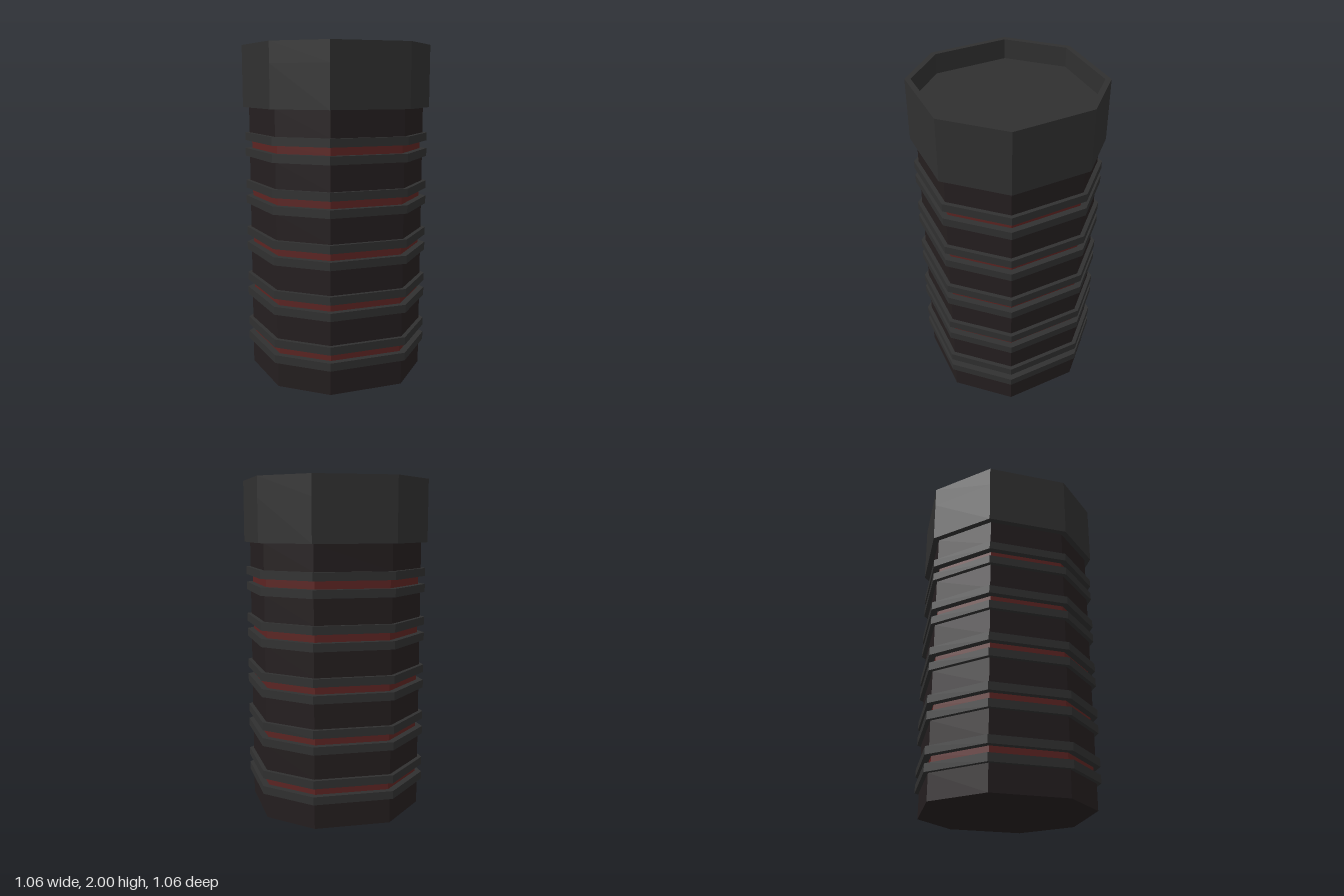
import * as THREE from 'three';

const grey = new THREE.MeshStandardMaterial({ color: 0x303030, flatShading: true });
const dark = new THREE.MeshStandardMaterial({ color: 0x241e1f, flatShading: true });
const red = new THREE.MeshStandardMaterial({ color: 0x5c2422, flatShading: true });

// Corners of the slightly uneven octagon, r = half width across flats
function octagon(r) {
  const a = r * 0.338, b = r * 0.383;
  return [[r, -b], [r, b], [a, r], [-a, r], [-r, b], [-r, -b], [-a, -r], [a, -r]]
    .map(([x, y]) => new THREE.Vector2(x, y));
}

// Upright octagonal prism from y0 to y1, optionally hollow
function prism(name, r, y0, y1, material, holeR) {
  const shape = new THREE.Shape(octagon(r));
  if (holeR) shape.holes.push(new THREE.Path(octagon(holeR).reverse()));
  const geometry = new THREE.ExtrudeGeometry(shape, { depth: y1 - y0, bevelEnabled: false });
  geometry.rotateX(-Math.PI / 2).translate(0, y0, 0);
  const mesh = new THREE.Mesh(geometry, material);
  mesh.name = name;
  return mesh;
}

export function createModel() {
  const model = new THREE.Group();
  model.name = 'ribbedColumn';
  const count = 5, pitch = 0.295, first = 0.153, capBottom = 1.63;

  // Body sections alternating with a red band held between two ribs
  let bodyStart = 0;
  for (let i = 0; i < count; i++) {
    const y = first + i * pitch;
    model.add(prism('bodySection', 0.495, bodyStart, y, dark));
    const band = new THREE.Group();
    band.name = 'ribbedBand';
    band.add(
      prism('lowerRib', 0.52, y, y + 0.048, grey),
      prism('redBand', 0.481, y + 0.048, y + 0.096, red),
      prism('upperRib', 0.52, y + 0.096, y + 0.144, grey),
    );
    model.add(band);
    bodyStart = y + 0.144;
  }
  model.add(prism('bodySection', 0.495, bodyStart, capBottom, dark));

  // Cap with a raised rim around a sunken top
  const capFloor = 1.88;
  model.add(prism('capBase', 0.53, capBottom, capFloor, grey));
  model.add(prism('capRim', 0.53, capFloor, 2, grey, 0.498));
  return model;
}
